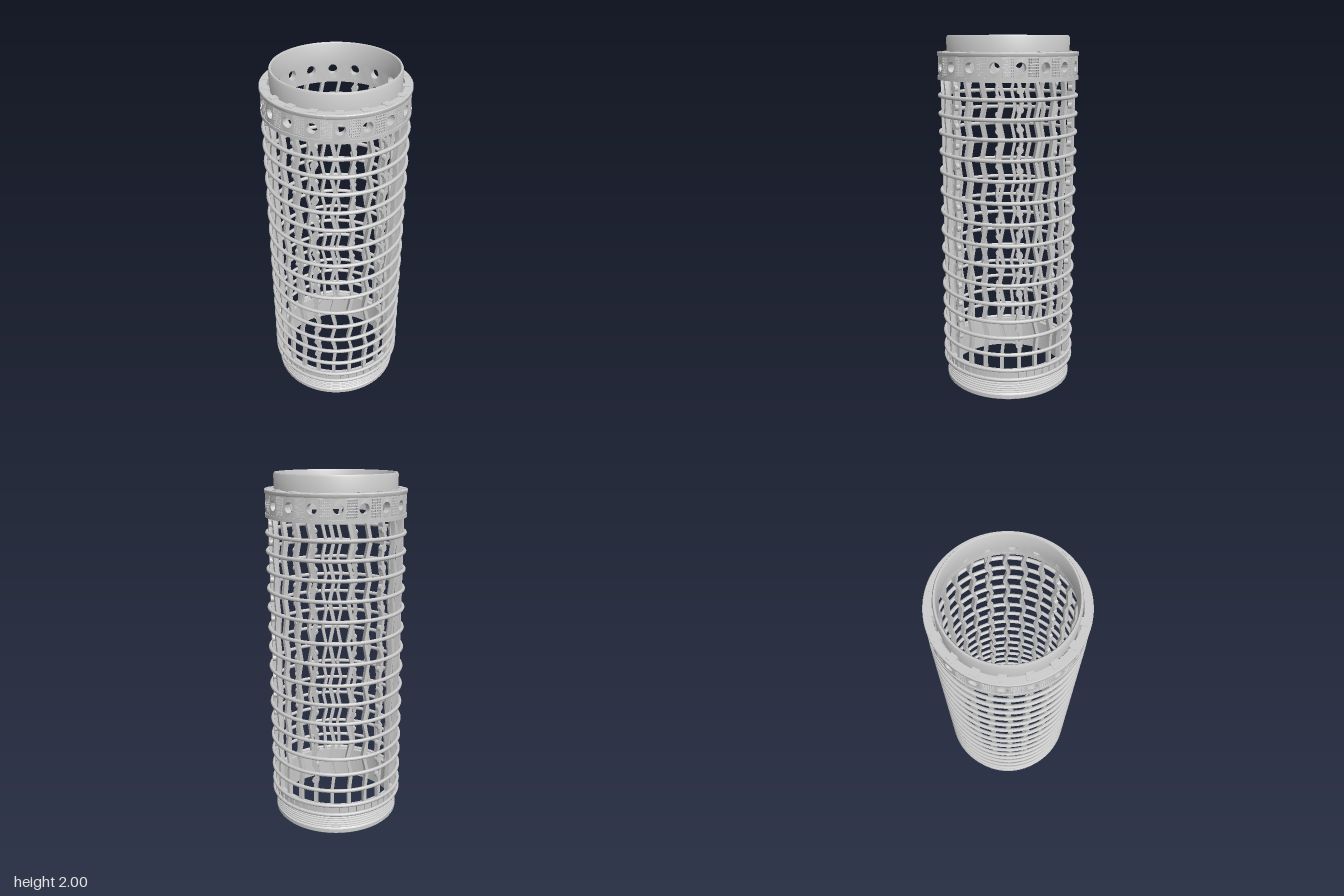
import * as THREE from 'three';
import { toCreasedNormals } from 'three/addons/utils/BufferGeometryUtils.js';

const RAD = Math.PI / 180;
const material = new THREE.MeshStandardMaterial({ color: 0xcccccc });

function add(parent, name, geometry, angle = 0) {
  const mesh = new THREE.Mesh(geometry, material);
  mesh.name = name;
  mesh.rotation.y = angle * RAD;
  parent.add(mesh);
  return mesh;
}

// Closed profile (outer side going up, inner side going down) turned about y.
function turned(profile) {
  const points = profile.map(([r, y]) => new THREE.Vector2(r, y));
  points.push(points[0].clone());
  return toCreasedNormals(new THREE.LatheGeometry(points, 96), 0.6);
}

// Shape drawn in (degrees, height), extruded from radius r0 to r1 and wrapped round y.
function wrapped(shape, r0, r1) {
  const geometry = new THREE.ExtrudeGeometry(shape, {
    depth: r1 - r0, bevelEnabled: false, curveSegments: 20,
  });
  const p = geometry.attributes.position;
  for (let i = 0; i < p.count; i++) {
    const a = p.getX(i) * RAD, r = r0 + p.getZ(i);
    p.setXYZ(i, r * Math.sin(a), p.getY(i), r * Math.cos(a));
  }
  geometry.computeVertexNormals();
  return toCreasedNormals(geometry, 0.5);
}

// Rectangle in (degrees, height), subdivided along the arc.
function patch(a0, a1, y0, y1, Type = THREE.Shape) {
  const n = Type === THREE.Path ? 1 : Math.max(1, Math.ceil((a1 - a0) / 2.5));
  const points = [];
  for (let i = 0; i <= n; i++) points.push(new THREE.Vector2(a0 + (a1 - a0) * i / n, y0));
  for (let i = n; i >= 0; i--) points.push(new THREE.Vector2(a0 + (a1 - a0) * i / n, y1));
  return new Type(points);
}

export function createModel() {
  const model = new THREE.Group();
  model.name = 'cylindricalCage';

  // Threaded base with a lip at the bottom
  const base = [[0.345, 0], [0.362, 0], [0.368, 0.006], [0.368, 0.028], [0.36, 0.032]];
  for (let i = 0; i < 6; i++) {
    const y = 0.036 + i * 0.014;
    base.push([0.357, y], [0.365, y + 0.004], [0.365, y + 0.008], [0.357, y + 0.012]);
  }
  base.push([0.37, 0.125], [0.37, 0.185], [0.345, 0.185]);
  add(model, 'threadedBase', turned(base));

  // Small ribs on the wall between the two lowest rings
  const ribs = new THREE.Group();
  ribs.name = 'baseRibs';
  model.add(ribs);
  const rib = wrapped(patch(-0.9, 0.9, 0.13, 0.188), 0.365, 0.379);
  for (let i = 0; i < 48; i++) add(ribs, 'baseRib', rib, i * 7.5);

  // Hoops
  const levels = [0.13, 0.188, 0.283, 0.384, 0.479, 0.583, 0.691, 0.803, 0.914,
    1.03, 1.147, 1.264, 1.372, 1.481, 1.582, 1.682];
  const hoops = new THREE.Group();
  hoops.name = 'hoops';
  model.add(hoops);
  const hoop = new THREE.TorusGeometry(0.378, 0.011, 8, 96).rotateX(Math.PI / 2);
  for (const y of levels) add(hoops, 'hoop', hoop).position.y = y;

  // Upright bars, leaning one way and then the other between hoops
  const nodes = [[0, 0.18], [0, 0.283]];
  levels.slice(3).forEach((y, i) => nodes.push([i % 2 ? -1.8 : 1.8, y]));
  nodes.push([-1.8, 1.785]);
  const half = 1.45;
  const outline = [
    ...nodes.map(([a, y]) => new THREE.Vector2(a + half, y)),
    ...nodes.slice().reverse().map(([a, y]) => new THREE.Vector2(a - half, y)),
  ];
  const bar = wrapped(new THREE.Shape(outline), 0.346, 0.372);
  const bars = new THREE.Group();
  bars.name = 'uprightBars';
  model.add(bars);
  for (let i = 0; i < 24; i++) add(bars, 'uprightBar', bar, i * 15);

  // Round studs halfway between hoops on every fourth bar
  const studs = new THREE.Group();
  studs.name = 'studs';
  model.add(studs);
  const stud = new THREE.CylinderGeometry(0.019, 0.019, 0.022, 12)
    .rotateX(Math.PI / 2).translate(0, 0, 0.36);
  for (let row = 2; row < levels.length; row++) {
    const y = (levels[row] + (levels[row + 1] ?? 1.775)) / 2;
    for (let i = 0; i < 6; i++) add(studs, 'stud', stud, i * 60).position.y = y;
  }

  // Upper band: rims, plates with round ports, and pitted grille panels
  const band = new THREE.Group();
  band.name = 'upperBand';
  model.add(band);
  add(band, 'lowerRim', turned([[0.346, 1.768], [0.387, 1.768], [0.387, 1.788], [0.346, 1.788]]));
  add(band, 'upperRim', turned([[0.346, 1.893], [0.385, 1.893], [0.388, 1.898],
    [0.388, 1.911], [0.385, 1.915], [0.346, 1.915]]));

  const portPlate = patch(-5, 5, 1.785, 1.895);
  const port = new THREE.Path();
  port.absellipse(0, 1.84, 0.027 / 0.38 / RAD, 0.027, 0, Math.PI * 2, true);
  portPlate.holes.push(port);
  const portGeometry = wrapped(portPlate, 0.347, 0.383);

  const grille = patch(5, 15, 1.785, 1.895);
  for (let i = 0; i < 6; i++) {
    for (let j = 0; j < 7; j++) {
      const a = 5.8 + i * 1.5, y = 1.795 + j * 0.0136;
      grille.holes.push(patch(a, a + 0.9, y, y + 0.0085, THREE.Path));
    }
  }
  const grilleGeometry = wrapped(grille, 0.365, 0.383);
  const backGeometry = wrapped(patch(5, 15, 1.785, 1.895), 0.347, 0.365);
  // Spacer blocks join the collar to the band
  const spacerGeometry = wrapped(patch(-3.3, 3.3, 1.885, 1.918), 0.33, 0.375);
  for (let i = 0; i < 18; i++) {
    add(band, 'portPlate', portGeometry, i * 20);
    add(band, 'grillePanel', grilleGeometry, i * 20);
    add(band, 'grilleBack', backGeometry, i * 20);
    add(band, 'spacerBlock', spacerGeometry, i * 20);
  }

  // Top collar
  add(model, 'topCollar', turned([[0.319, 1.88], [0.336, 1.88], [0.336, 1.99],
    [0.331, 2], [0.323, 2], [0.319, 1.994]]));

  return model;
}
